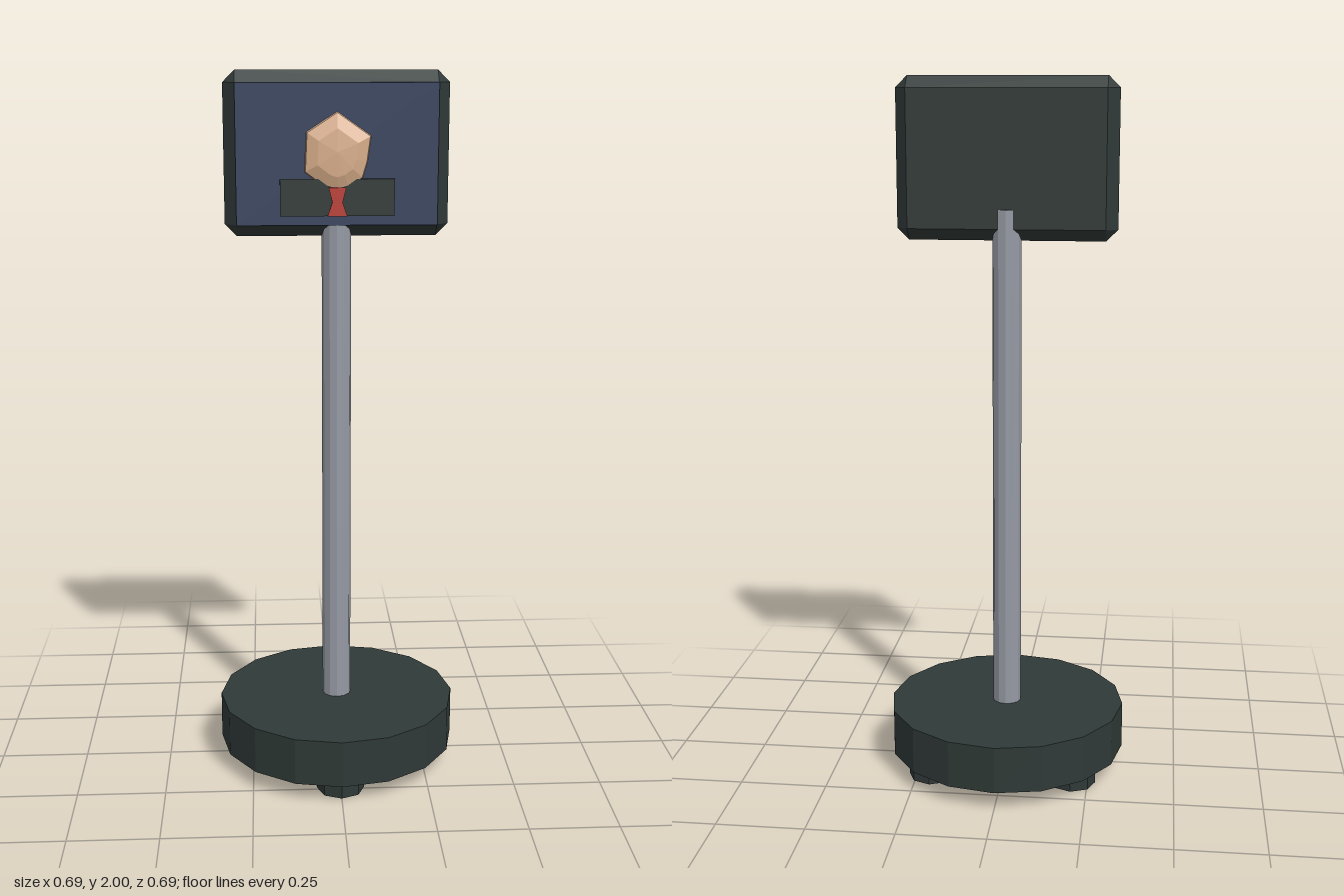
import * as THREE from 'three';
import { ConvexGeometry } from 'three/addons/geometries/ConvexGeometry.js';

const mat = (name, color) => {
  const m = new THREE.MeshStandardMaterial({ color, flatShading: true });
  m.name = name;
  return m;
};

export function createModel() {
  const model = new THREE.Group();
  const dark = mat('charcoal', 0x2f3937);
  const metal = mat('steel grey', 0x9599a3);
  const navy = mat('navy', 0x36425f);
  const skin = mat('skin', 0xdbb08d);
  const red = mat('red', 0xbb3f37);

  const add = (name, geometry, material, x = 0, y = 0, z = 0) => {
    const mesh = new THREE.Mesh(geometry, material);
    mesh.name = name;
    mesh.position.set(x, y, z);
    model.add(mesh);
    return mesh;
  };
  const V = (x, y, z) => new THREE.Vector3(x, y, z);

  // Round base on three feet
  add('base', new THREE.CylinderGeometry(0.344, 0.344, 0.135, 16), dark, 0, 0.1225, 0);
  for (const [x, z] of [[0, 0.24], [0.205, -0.137], [-0.205, -0.137]])
    add('foot', new THREE.CylinderGeometry(0.068, 0.068, 0.056, 8), dark, x, 0.028, z);

  // Pole, rising a little way behind the display
  add('pole', new THREE.CylinderGeometry(0.041, 0.041, 1.45, 12), metal, 0, 0.915, 0);

  // Display housing with a sharp ridge around its rim
  const w = 0.275, h = 0.19, d = 0.034, b = 0.033;
  const corners = [];
  for (const sx of [-1, 1]) for (const sy of [-1, 1])
    corners.push(
      V(sx * w, sy * h, d), V(sx * w, sy * h, -d),
      V(sx * (w + b), sy * h, 0), V(sx * w, sy * (h + b), 0));
  add('displayHousing', new ConvexGeometry(corners), dark, 0, 1.777, 0);
  add('screen', new THREE.BoxGeometry(2 * w, 2 * h, 0.011), navy, 0, 1.777, 0.0385);

  // Figure on the screen: shoulders, tie and faceted head
  add('shoulders', new THREE.BoxGeometry(0.312, 0.1, 0.012), dark, 0, 1.663, 0.049);
  const tie = new THREE.Shape([[-0.027, 1.613], [0.027, 1.613], [0.014, 1.65], [0.024, 1.69],
    [-0.024, 1.69], [-0.014, 1.65]].map(([x, y]) => new THREE.Vector2(x, y)));
  add('tie', new THREE.ExtrudeGeometry(tie, { depth: 0.006, bevelEnabled: false }), red, 0, 0, 0.054);

  const outline = [[0, 1.893], [0.093, 1.828], [0.083, 1.757], [0.07, 1.714], [0.032, 1.687],
    [0, 1.677], [-0.032, 1.687], [-0.09, 1.73], [-0.085, 1.838]];
  const points = [V(0, 1.785, 0.07)];
  for (const [x, y] of outline)
    points.push(V(x, y, 0.04), V(x * 0.96, 1.78 + (y - 1.78) * 0.96, 0.053),
      V(x * 0.6, 1.78 + (y - 1.78) * 0.6, 0.066));
  add('head', new ConvexGeometry(points), skin);

  return model;
}
